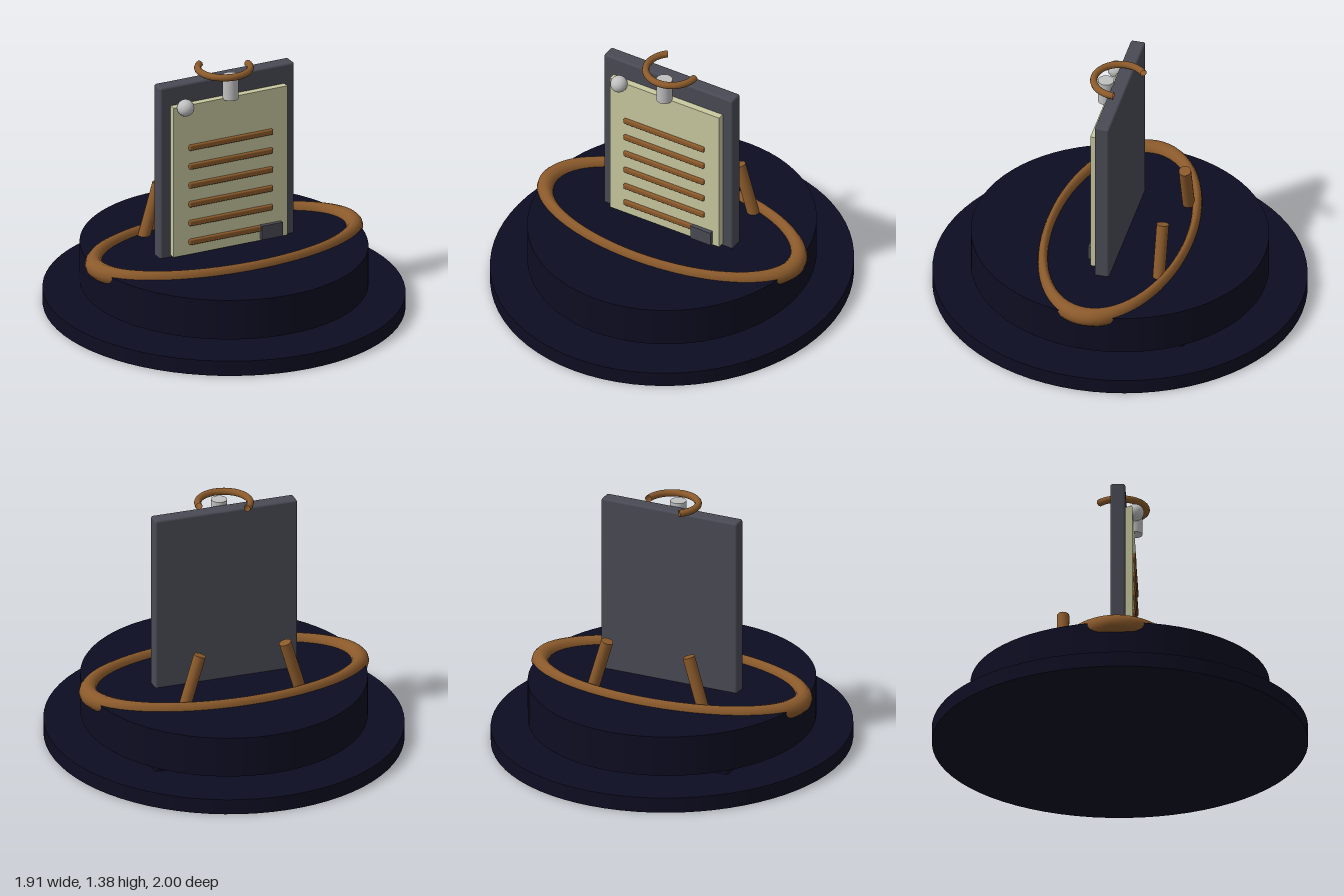
import * as THREE from 'three';
import { RoundedBoxGeometry } from 'three/addons/geometries/RoundedBoxGeometry.js';

const material = (name, color) => {
  const m = new THREE.MeshStandardMaterial({ color });
  m.name = name;
  return m;
};

export function createModel() {
  const group = new THREE.Group();
  const navy = material('navy', 0x0d0d22);
  const bronze = material('bronze', 0x8b5a2b);
  const slate = material('slate', 0x4a4a55);
  const paper = material('paper', 0xc8c8a0);
  const silver = material('silver', 0xc0c0c0);
  const bronzeOpen = material('bronze open ring', 0x8b5a2b);
  bronzeOpen.side = THREE.DoubleSide;

  const add = (name, geometry, mat, x = 0, y = 0, z = 0) => {
    const mesh = new THREE.Mesh(geometry, mat);
    mesh.name = name;
    mesh.position.set(x, y, z);
    group.add(mesh);
    return mesh;
  };
  const box = (name, mat, w, h, d, x, y, z) =>
    add(name, new THREE.BoxGeometry(w, h, d), mat, x, y, z);

  // Two stacked, slightly oval discs with a gap between them
  const disc = (name, rx, rz, y0, y1) => {
    const mesh = add(name, new THREE.CylinderGeometry(1, 1, y1 - y0, 72), navy, 0, (y0 + y1) / 2, 0);
    mesh.scale.set(rx, 1, rz);
  };
  disc('baseDisc', 0.955, 1, 0, 0.085);
  disc('upperDisc', 0.76, 0.795, 0.125, 0.35);

  // Oval ring lying on the upper disc, thicker at its sides
  const ringGeometry = new THREE.TorusGeometry(0.755, 0.05, 12, 64).rotateX(Math.PI / 2);
  add('ovalRing', ringGeometry, bronze, 0, 0.34, 0).scale.z = 0.5;

  // Leaning rear legs and their feet
  for (const side of [1, -1]) {
    const top = new THREE.Vector3(side * 0.24, 0.632, -0.295);
    const bottom = new THREE.Vector3(side * 0.4, 0.095, -0.295);
    const axis = top.clone().sub(bottom);
    const leg = add('leg', new THREE.CylinderGeometry(0.033, 0.033, axis.length(), 20), bronze);
    leg.position.copy(top).add(bottom).multiplyScalar(0.5);
    leg.quaternion.setFromUnitVectors(new THREE.Vector3(0, 1, 0), axis.normalize());
    add('foot', new RoundedBoxGeometry(0.28, 0.06, 0.16, 3, 0.02), navy, side * 0.42, 0.09, -0.41);
  }

  // Upright board with paper sheet
  add('board', new RoundedBoxGeometry(0.8, 1.02, 0.08, 2, 0.012), slate, 0, 0.82, 0);
  box('paperSheet', paper, 0.68, 0.86, 0.04, 0, 0.79, 0.057);

  // Written lines and corner tab
  for (let i = 0; i < 6; i++) {
    add('writtenLine', new RoundedBoxGeometry(0.5, 0.033, 0.022, 2, 0.008), bronze, 0, 0.432 + i * 0.1086, 0.08);
  }
  box('cornerTab', slate, 0.125, 0.08, 0.03, 0.237, 0.41, 0.085);

  // Pin, clip post and open ring on top
  add('pin', new THREE.SphereGeometry(0.046, 24, 16), silver, -0.275, 1.215, 0.09);
  add('clipPost', new THREE.CylinderGeometry(0.043, 0.043, 0.133, 28), silver, 0, 1.28, 0.077);
  const loop = new THREE.TorusGeometry(0.14, 0.019, 12, 40, 4.0).rotateX(Math.PI / 2);
  add('openLoop', loop, bronzeOpen, 0, 1.36, 0);

  return group;
}
